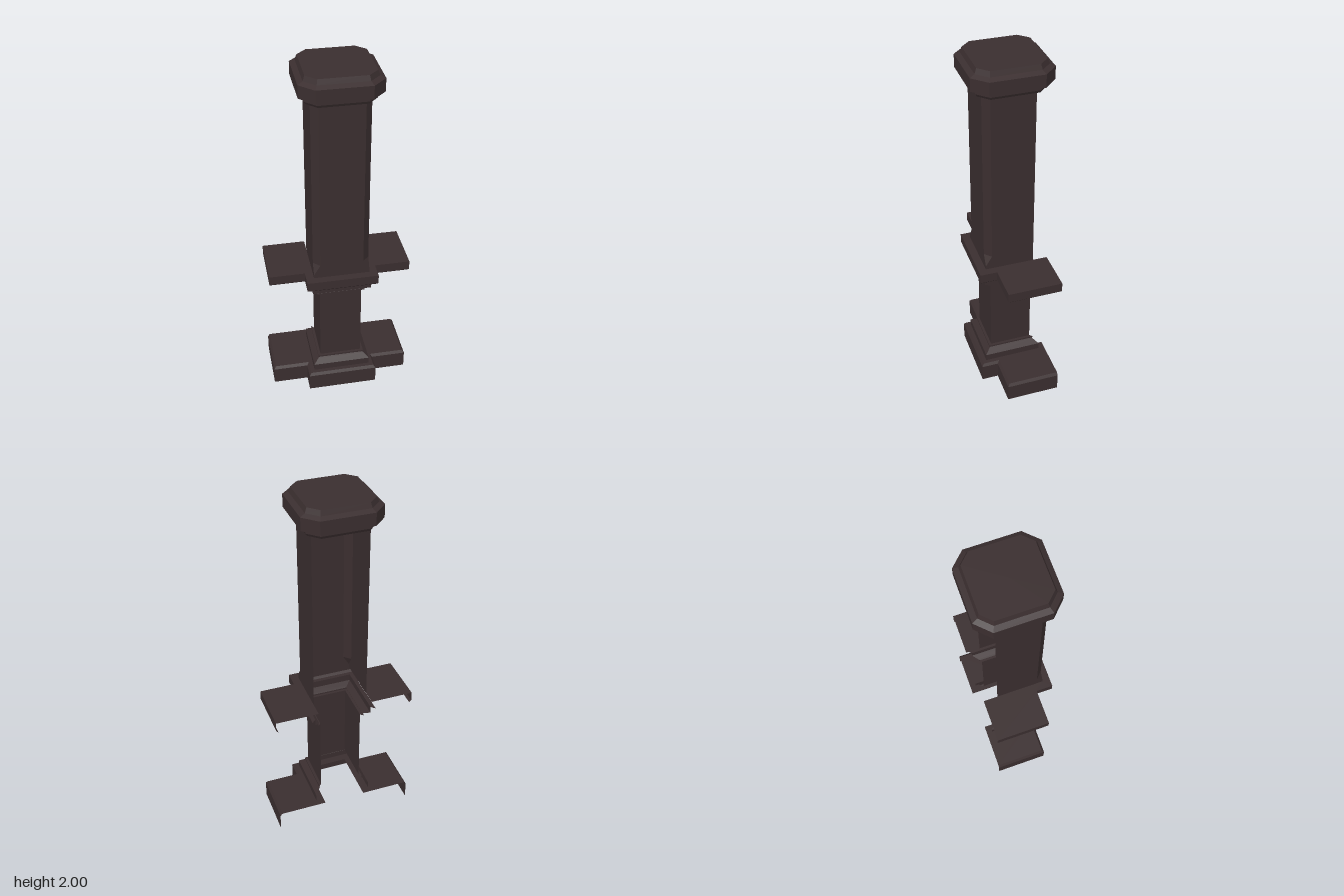
import * as THREE from 'three';

const material = new THREE.MeshStandardMaterial({ color: 0x3a2e2f, side: THREE.DoubleSide });
material.name = 'dark brown';

// Flat-shaded skin over a list of cross-sections, each a list of [x, y, z]
function skin(rings) {
  const pos = [];
  for (let j = 0; j < rings.length - 1; j++) {
    for (let i = 0; i < rings[j].length - 1; i++) {
      const a = rings[j][i], b = rings[j][i + 1];
      const c = rings[j + 1][i + 1], d = rings[j + 1][i];
      pos.push(...a, ...b, ...c, ...a, ...c, ...d);
    }
  }
  const g = new THREE.BufferGeometry();
  g.setAttribute('position', new THREE.Float32BufferAttribute(pos, 3));
  g.computeVertexNormals();
  return g;
}

const lift = (path, y) => path.map(([x, z]) => [x, y, z]);
const mirrored = (half) => [...half.map(([x, z]) => [-x, z]), ...half.slice().reverse()];

// Plan outlines, running from the model's right round the front to its left
const threeSides = (h) => mirrored([[h, -h], [h, h]]);
const ledgePlan = (d) => mirrored([
  [0.4 - d, -0.2], [0.4 - d, 0.105 - d], [0.2 - d, 0.105 - d], [0.2 - d, 0.2 - d],
]);
const octagon = (h, c) => [
  [-c, h], [c, h], [h, c], [h, -c], [c, -h], [-c, -h], [-h, -c], [-h, c], [-c, h],
];

// Horizontal plate: ledge outline, cut away around a column of half-width w
function plate(inset, w, y) {
  const outline = [...ledgePlan(inset), [w, -0.2], [w, w], [-w, w], [-w, -0.2]];
  const g = new THREE.ShapeGeometry(
    new THREE.Shape(outline.map(([x, z]) => new THREE.Vector2(x, -z))));
  return g.rotateX(-Math.PI / 2).translate(0, y, 0);
}

export function createModel() {
  const model = new THREE.Group();
  model.name = 'pillar';
  const add = (name, geometry) => {
    const mesh = new THREE.Mesh(geometry, material);
    mesh.name = name;
    model.add(mesh);
  };
  const moulding = (profile) => skin(profile.map(([h, y]) => lift(threeSides(h), y)));
  const ledge = (profile) => skin(profile.map(([d, y]) => lift(ledgePlan(d), y)));

  // Plinth with side wings, open below and behind
  add('plinthSides', ledge([[0, 0], [0, 0.1], [0.012, 0.115]]));
  add('plinthTop', plate(0.012, 0.12, 0.115));

  // Lower column with its base and capital mouldings
  add('baseMoulding', moulding([
    [0.165, 0.115], [0.165, 0.155], [0.137, 0.178], [0.13, 0.183],
    [0.135, 0.186], [0.135, 0.195], [0.12, 0.195],
  ]));
  add('lowerColumn', moulding([[0.12, 0.195], [0.12, 0.66]]));
  add('capitalMoulding', moulding([
    [0.12, 0.66], [0.135, 0.66], [0.135, 0.669], [0.13, 0.672],
    [0.137, 0.677], [0.165, 0.695], [0.165, 0.735], [0.188, 0.735],
  ]));

  // Shelf with side wings
  add('shelfSides', ledge([[0.012, 0.735], [0, 0.747], [0, 0.8]]));
  add('shelfTop', plate(0, 0.156, 0.8));

  // Upper shaft: square foot turning into chamfered corners, open at the back
  const h = 0.156, c = 0.12, back = -0.118;
  const square = mirrored([[h, back], [h, h], [h, h]]);
  const chamfered = mirrored([[h, back], [h, c], [c, h]]);
  add('upperShaft', skin([
    lift(square, 0.8), lift(square, 0.82), lift(chamfered, 0.88), lift(chamfered, 1.99),
  ]));

  // Eight-sided cap: half-width, half-length of the straight side, height
  add('cap', skin([
    [0.156, 0.12, 1.85], [0.18, 0.125, 1.85], [0.188, 0.13, 1.865], [0.188, 0.13, 1.88],
    [0.217, 0.143, 1.89], [0.217, 0.143, 1.96], [0.19, 0.132, 1.973],
    [0.18, 0.127, 2], [0, 0, 2],
  ].map(([r, s, y]) => lift(octagon(r, s), y))));

  return model;
}
